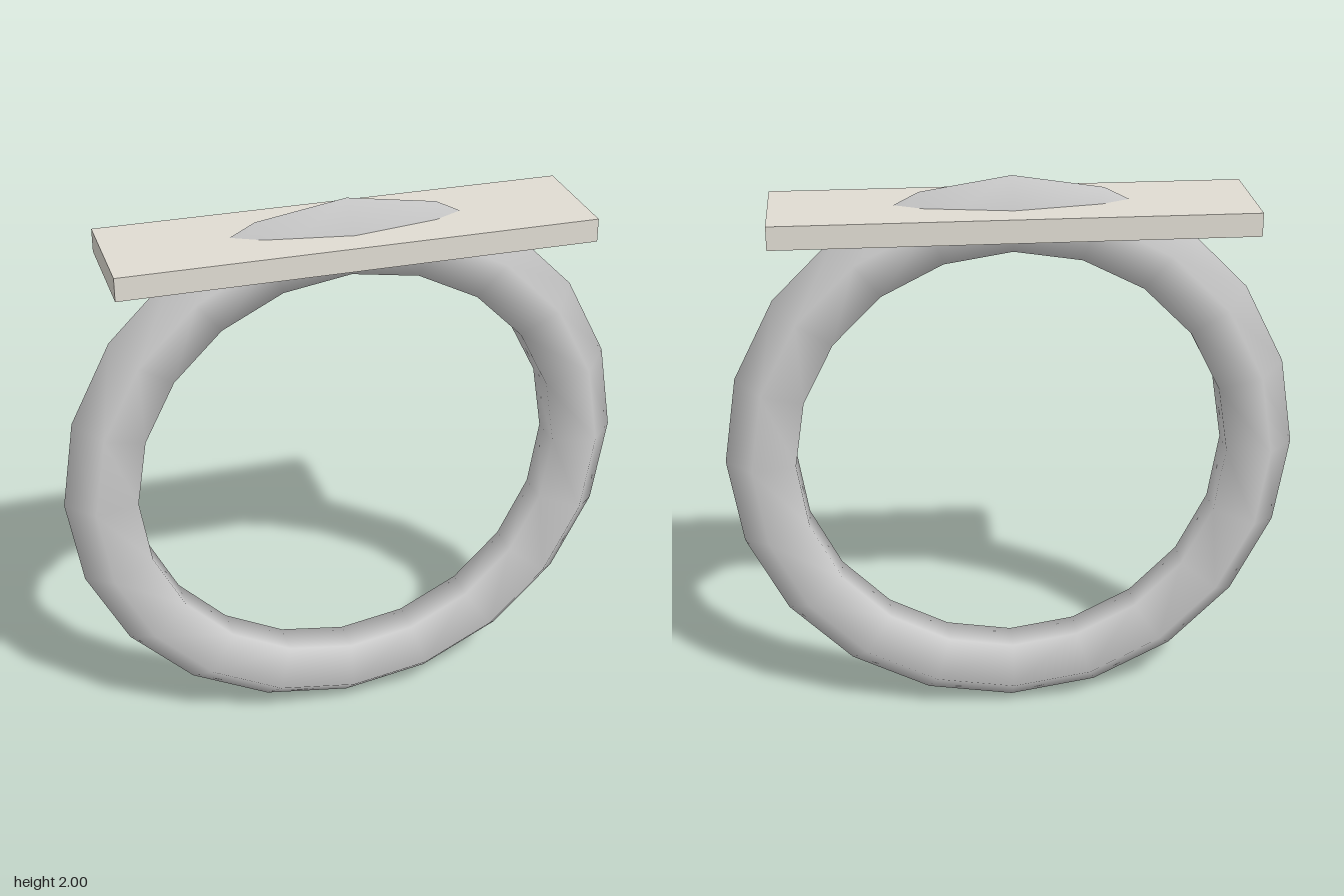
import * as THREE from 'three';

export function createModel() {
  const group = new THREE.Group();

  // Upright ring: five-sided tube with an outward ridge, narrowed along z
  const ring = new THREE.Mesh(
    new THREE.TorusGeometry(0.865, 0.135, 5, 20).scale(1, 1, 0.79),
    new THREE.MeshStandardMaterial({ color: 0xcccccc })
  );
  ring.name = 'ring';
  ring.position.y = 1;
  group.add(ring);

  // Flat plate set across the top of the ring
  const plate = new THREE.Mesh(
    new THREE.BoxGeometry(1.615, 0.08, 0.4),
    new THREE.MeshStandardMaterial({ color: 0xe0dcd2 })
  );
  plate.name = 'plate';
  plate.position.y = 1.868;
  group.add(plate);

  return group;
}
